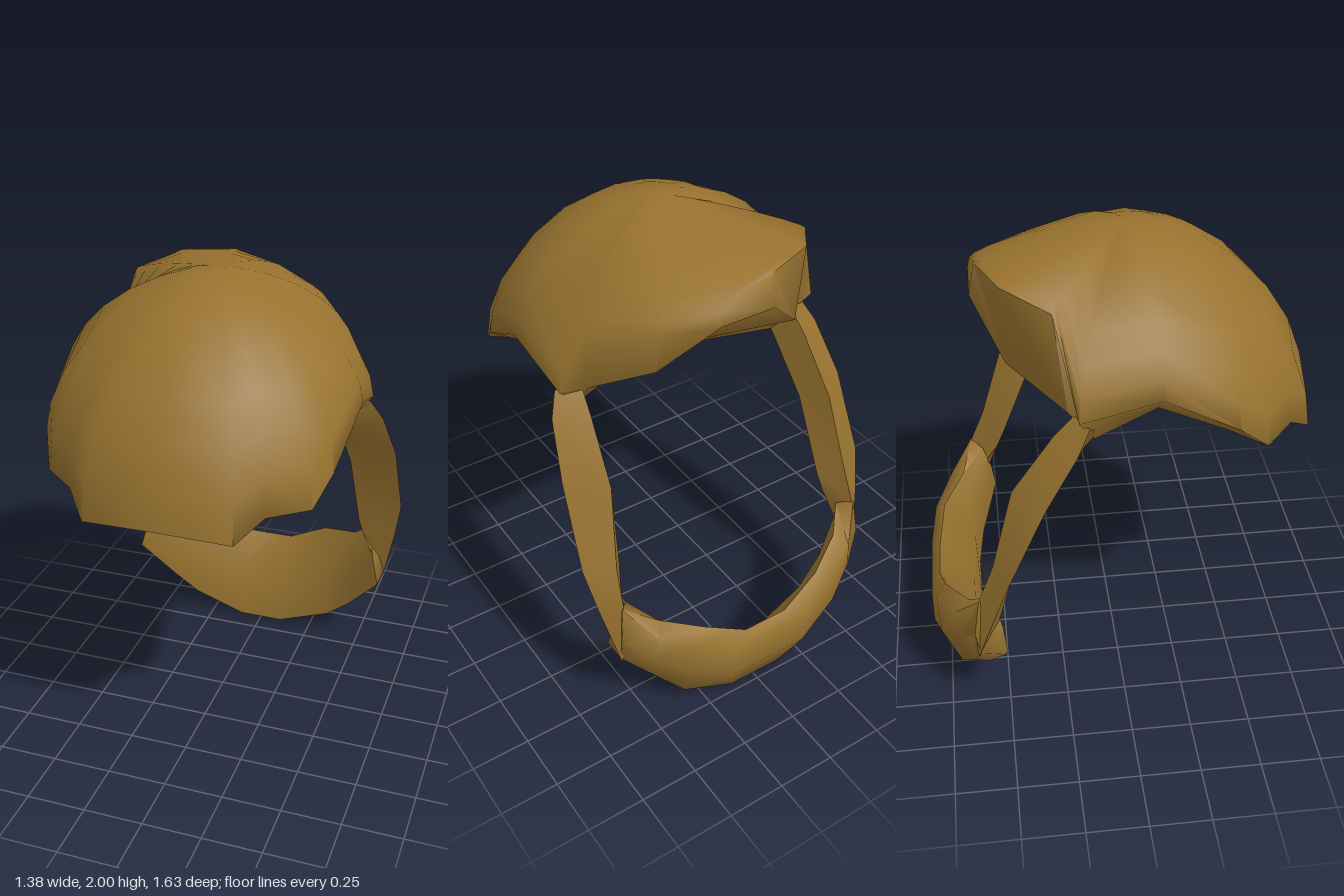
import * as THREE from 'three';
import { toCreasedNormals } from 'three/addons/utils/BufferGeometryUtils.js';

const bronze = new THREE.MeshStandardMaterial({ color: 0x97722f });
bronze.name = 'bronze';
bronze.side = THREE.DoubleSide;

// Skin closed rings of [x, y, z] points; faces point along (ring step) x (point step).
function loft(name, rings, crease) {
  const n = rings[0].length, index = [];
  for (let i = 0; i < rings.length - 1; i++) {
    for (let j = 0; j < n; j++) {
      const k = (j + 1) % n;
      const a = i * n + j, b = i * n + k, c = a + n, d = b + n;
      index.push(a, c, d, a, d, b);
    }
  }
  const geo = new THREE.BufferGeometry();
  geo.setAttribute('position', new THREE.Float32BufferAttribute(rings.flat(2), 3));
  geo.setIndex(index);
  const mesh = new THREE.Mesh(toCreasedNormals(geo, crease), bronze);
  mesh.name = name;
  return mesh;
}

const flip = ([x, y, z]) => [-x, y, z];
const collapse = (ring) => {
  const c = [0, 1, 2].map((k) => ring.reduce((s, p) => s + p[k], 0) / ring.length);
  return ring.map(() => c);
};
const capped = (rings) => [collapse(rings[0]), ...rings, collapse(rings[rings.length - 1])];

// Full loop: front centre, round the +x side to the back, and along the -x side again.
const loop = (half, right = {}) => [
  ...half,
  ...half.map((p, i) => right[i] || [...flip(p), ...p.slice(3)]).slice(1).reverse(),
];

// Closed dome: arcs from the apex to the widest edge, a tucked rim and the underside
function createShell() {
  // Widest edge: x, y, z and roundness of the arc above it; the back is higher at -x
  const edge = loop([
    [0, 1.22, 0.815, 1.77], [0.3, 1.19, 0.77, 1.77], [0.39, 1.27, 0.67, 1.77], [0.535, 1.27, 0.55, 1.75],
    [0.58, 1.37, 0.42, 1.7], [0.612, 1.54, 0.12, 1.67], [0.59, 1.44, -0.19, 1.67],
    [0.48, 1.66, -0.22, 1.65], [0.31, 1.75, -0.45, 1.4], [0.11, 1.82, -0.55, 1.4],
  ], {
    4: [-0.6, 1.39, 0.42, 1.7], 5: [-0.63, 1.56, 0.12, 1.67], 6: [-0.61, 1.47, -0.19, 1.67],
    7: [-0.48, 1.86, -0.27, 1.2], 8: [-0.34, 1.905, -0.45, 1.1], 9: [-0.12, 1.905, -0.535, 1.1],
  });
  // Lower rim: follows the edge at the front, slopes in at the sides, drops at the back
  const rim = loop([
    [0, 1.22, 0.81], [0.3, 1.19, 0.765], [0.385, 1.265, 0.665], [0.53, 1.265, 0.54],
    [0.5, 1.33, 0.39], [0.5, 1.45, 0.12], [0.47, 1.31, -0.12],
    [0.48, 1.44, -0.22], [0.32, 1.58, -0.44], [0.12, 1.77, -0.56],
  ]);
  const apex = [0, 2, 0.06], steps = 7, rings = [];
  for (let i = 0; i <= steps; i++) {
    const t = (i / steps) * Math.PI / 2;
    rings.push(edge.map(([x, y, z, power]) => {
      const s = Math.sin(t) ** (2 / power);
      const c = Math.max(0, Math.cos(t)) ** (2 / power);
      return [x * s, y + (apex[1] - y) * c, apex[2] + (z - apex[2]) * s];
    }));
  }
  rings.push(rim, rim.map(() => [0, 1.21, 0.16]));
  return loft('shell', rings, 1.3);
}

// Three-sided strap: outer, back and inner edges from top to bottom
function createStraps() {
  const rings = [
    [[0.59, 1.43, -0.15], [0.5, 1.44, -0.2], [0.46, 1.34, -0.1]],
    [[0.635, 1.34, -0.2], [0.51, 1.36, -0.28], [0.465, 1.27, -0.16]],
    [[0.675, 1.13, -0.33], [0.53, 1.13, -0.45], [0.48, 1.07, -0.32]],
    [[0.69, 0.8, -0.48], [0.57, 0.8, -0.54], [0.505, 0.72, -0.45]],
    [[0.66, 0.62, -0.54], [0.58, 0.65, -0.6], [0.52, 0.64, -0.48]],
    [[0.605, 0.36, -0.62], [0.58, 0.45, -0.63], [0.56, 0.5, -0.53]],
  ];
  const mirrored = rings.map((r) => r.map(flip)).reverse();
  return [loft('leftStrap', capped(rings), 0.8), loft('rightStrap', capped(mirrored), 0.8)];
}

// Crescent chin cup: top edge, back curve, bottom front edge, bulged front
function createCup() {
  const half = [
    [[0.1, 0.39, -0.775], [0.18, 0.35, -0.815], [0.18, 0.2, -0.815], [0.12, 0.02, -0.73], [0.1, 0.0, -0.6], [0.1, 0.18, -0.63]],
    [[0.28, 0.485, -0.745], [0.32, 0.45, -0.787], [0.37, 0.3, -0.775], [0.35, 0.1, -0.7], [0.34, 0.085, -0.6], [0.31, 0.27, -0.615]],
    [[0.45, 0.54, -0.65], [0.49, 0.51, -0.71], [0.51, 0.38, -0.7], [0.45, 0.19, -0.64], [0.45, 0.18, -0.575], [0.45, 0.36, -0.575]],
    [[0.54, 0.61, -0.55], [0.59, 0.64, -0.605], [0.605, 0.48, -0.63], [0.605, 0.37, -0.61], [0.6, 0.36, -0.5], [0.57, 0.48, -0.515]],
  ];
  const other = half.map((r) => r.map(flip)).reverse();
  return loft('chinCup', capped([...other, ...half]), 1.25);
}

export function createModel() {
  const model = new THREE.Group();
  model.name = 'cappedRing';
  model.add(createShell(), ...createStraps(), createCup());
  return model;
}
